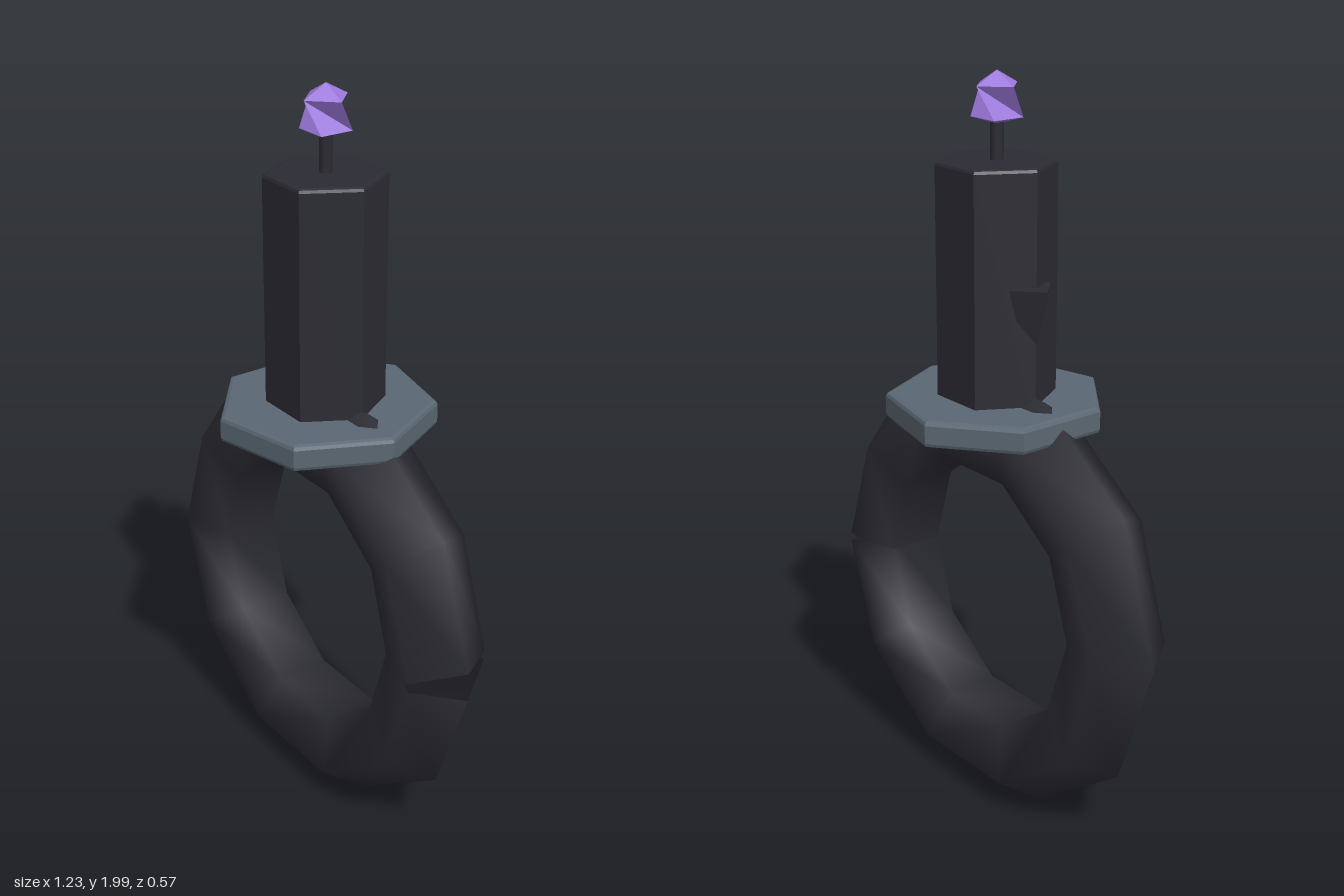
import * as THREE from 'three';

const material = (name, color, side = THREE.FrontSide) => {
  const m = new THREE.MeshStandardMaterial({ color, side });
  m.name = name;
  return m;
};

// Regular polygon prism with bevelled edges, standing on y = bottom, one corner at +x
function prism(sides, radius, bottom, top, bevel) {
  const points = [];
  for (let i = 0; i < sides; i++) {
    const a = (i / sides) * Math.PI * 2;
    points.push(new THREE.Vector2(Math.cos(a) * radius, Math.sin(a) * radius));
  }
  const g = new THREE.ExtrudeGeometry(new THREE.Shape(points), {
    depth: top - bottom - bevel * 2,
    bevelEnabled: true, bevelThickness: bevel, bevelSize: bevel,
    bevelOffset: -bevel, bevelSegments: 2,
  });
  return g.rotateX(-Math.PI / 2).translate(0, bottom + bevel, 0);
}

// Ten-sided ring of pentagonal section, its two end sections tilted to leave a notch
function ringGeometry() {
  const R = 0.487, tilt = Math.PI / 10;
  const g = new THREE.TorusGeometry(R, 0.1326, 5, 10);
  const p = g.attributes.position;
  for (let i = 0; i < p.count; i++) {
    const step = i % 11;
    if (step !== 0 && step !== 10) continue;
    const a = step === 0 ? tilt : -tilt;
    const d = p.getX(i) - R;
    p.setXY(i, R + d * Math.cos(a), d * Math.sin(a));
  }
  return g;
}

// Four-sided gem with its lower corners twisted against the upper ones
function gemGeometry() {
  const g = new THREE.SphereGeometry(1, 4, 3);
  const p = g.attributes.position;
  const heights = [2.0, 1.965, 1.885, 1.868];
  const radii = [0, 0.065, 0.066, 0];
  for (let i = 0; i < p.count; i++) {
    const row = Math.floor(i / 5);
    const a = ((i % 5) / 4) * Math.PI * 2 + (row >= 2 ? Math.PI / 4 : 0);
    p.setXYZ(i, -Math.cos(a) * radii[row], heights[row], Math.sin(a) * radii[row]);
  }
  const flat = g.toNonIndexed();
  flat.computeVertexNormals();
  return flat;
}

export function createModel() {
  const model = new THREE.Group();
  model.name = 'ringHandle';
  const dark = material('dark metal', 0x2b2b33);
  const darkOpen = material('dark metal', 0x2b2b33);
  darkOpen.side = THREE.DoubleSide;
  const steel = material('grey steel', 0x5a6772);
  const violet = material('violet gem', 0x9c78dc);

  const add = (name, geometry, mat) => {
    const mesh = new THREE.Mesh(geometry, mat);
    mesh.name = name;
    model.add(mesh);
    return mesh;
  };

  // Ring and collar
  add('ring', ringGeometry(), darkOpen).position.y = 0.6;
  add('collar', prism(7, 0.293, 1.095, 1.167, 0.012), steel);

  // Shaft with a thorn on its right side
  add('shaft', prism(6, 0.157, 1.1, 1.78, 0.01), dark);
  const thorn = new THREE.ConeGeometry(0.068, 0.23, 4).toNonIndexed();
  thorn.computeVertexNormals();
  thorn.rotateX(Math.PI);
  add('thorn', thorn, dark).position.set(-0.132, 1.365, 0);

  // Stem and gem
  add('stem', new THREE.CylinderGeometry(0.017, 0.017, 0.13, 8), dark).position.y = 1.825;
  add('gem', gemGeometry(), violet);

  return model;
}
